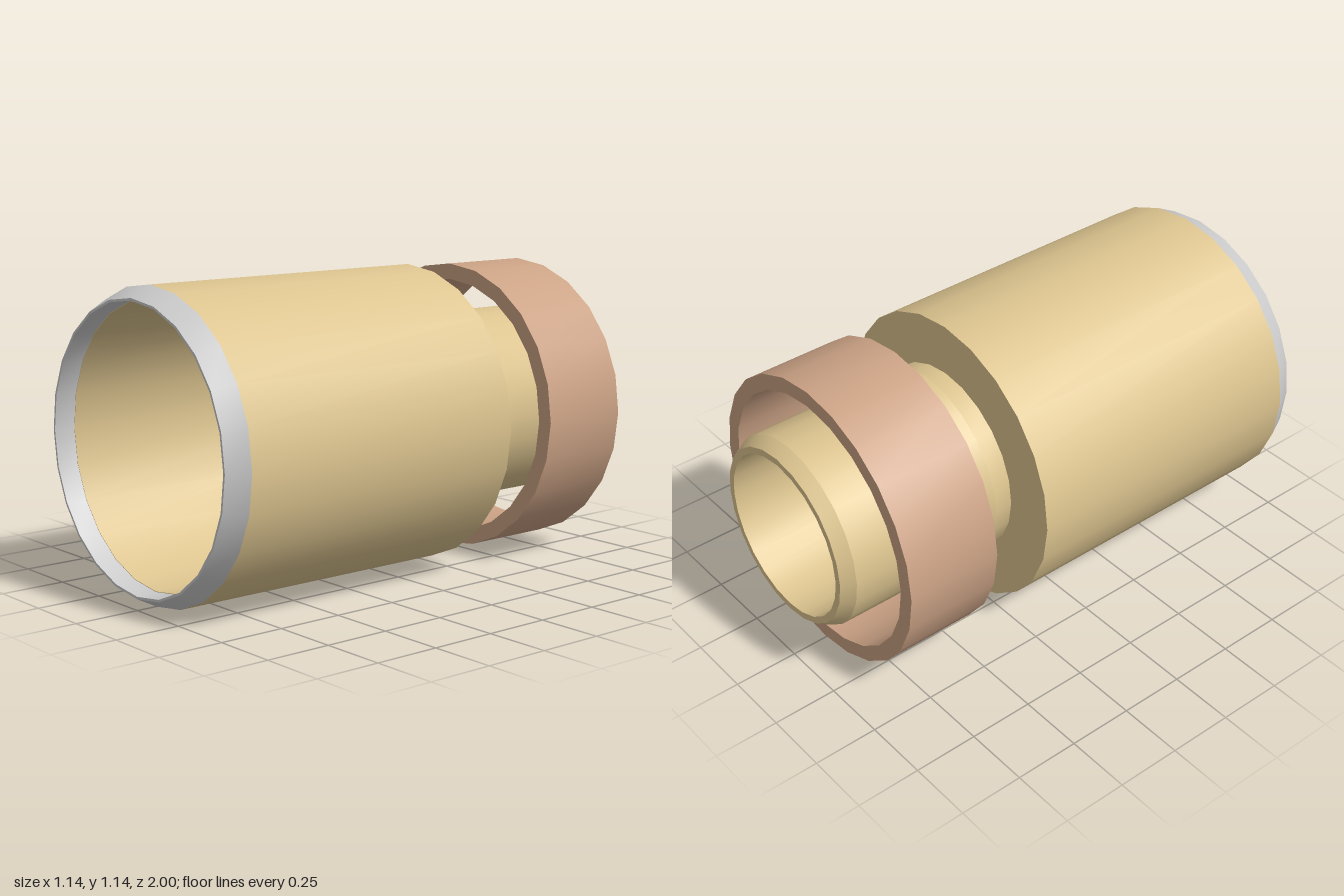
import * as THREE from 'three';
import { toCreasedNormals } from 'three/addons/utils/BufferGeometryUtils.js';

const SIDES = 24;
const AXIS_HEIGHT = 0.573;

// Revolves a counter-clockwise [radius, z] profile around the z axis.
function revolved(name, profile, color, closed = true) {
  const points = profile.map(([r, z]) => new THREE.Vector2(r, z));
  if (closed) points.push(points[0].clone());
  const lathe = new THREE.LatheGeometry(points, SIDES);
  lathe.rotateX(Math.PI / 2);
  const mesh = new THREE.Mesh(
    toCreasedNormals(lathe, 0.4),
    new THREE.MeshStandardMaterial({ color })
  );
  mesh.name = name;
  mesh.position.y = AXIS_HEIGHT;
  return mesh;
}

export function createModel() {
  const group = new THREE.Group();
  group.name = 'pipeCoupling';

  // Wide socket with a stepped floor, narrowing to a barbed neck at the back
  group.add(revolved('socketAndNeck', [
    [0.316, -1], [0.342, -1], [0.371, -0.95], [0.371, -0.5],
    [0.392, -0.35], [0.371, -0.35], [0.371, -0.265],
    [0.571, -0.265], [0.571, 0.92], [0.516, 0.92],
    [0.516, 0.1], [0.316, 0.1],
  ], 0xdcc48f));

  // Bevelled lip on the open end of the socket
  group.add(revolved('bevelledLip', [
    [0.571, 0.92], [0.53, 1], [0.521, 1], [0.518, 0.92],
  ], 0xcccccc, false));

  // Loose collar around the neck
  group.add(revolved('collar', [
    [0.5, -0.86], [0.56, -0.86], [0.56, -0.485], [0.5, -0.485],
  ], 0xcba285));

  return group;
}
